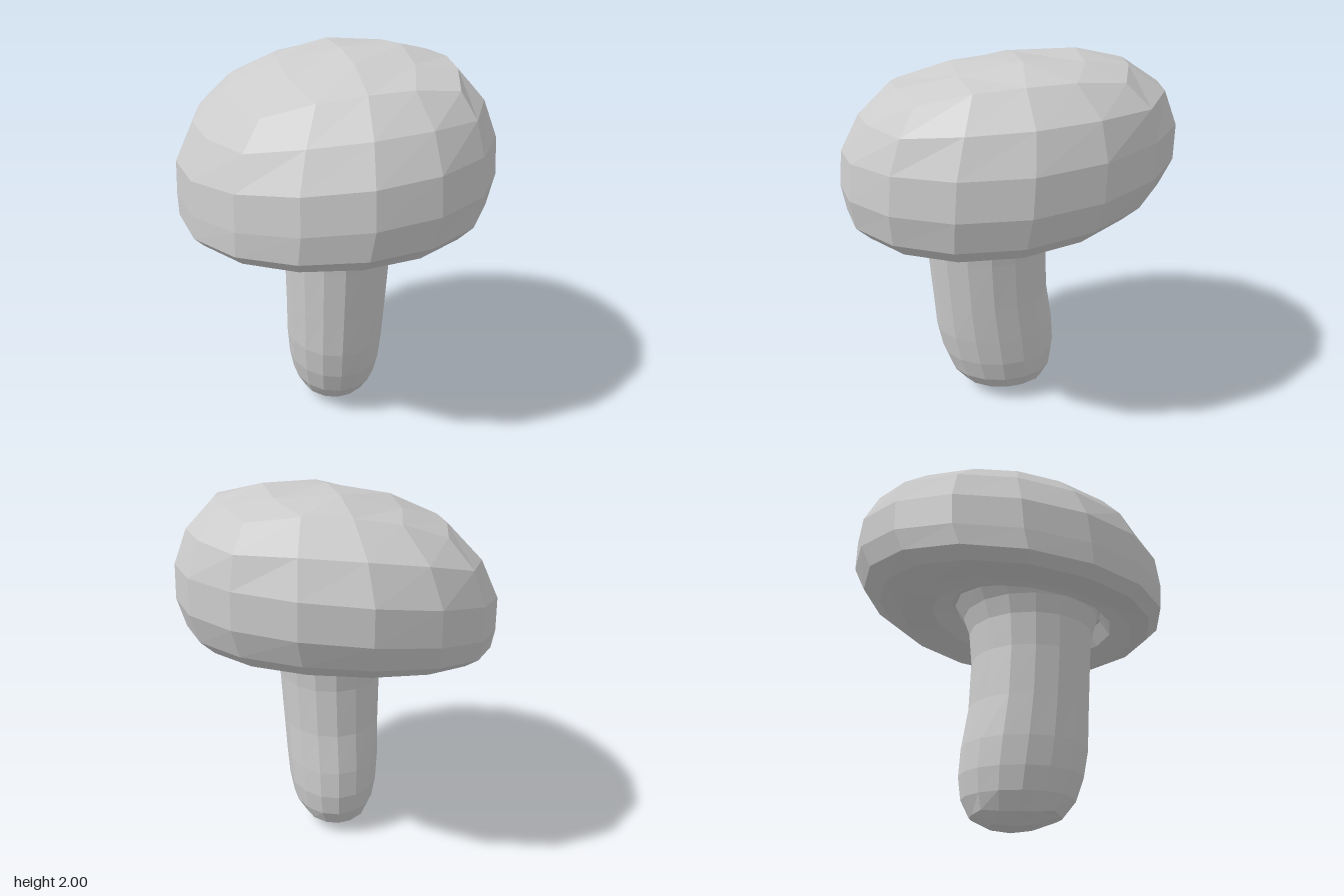
import * as THREE from 'three';

const material = new THREE.MeshStandardMaterial({ color: 0xcccccc, flatShading: true });

// Rounded solid from a box: 16 vertices around, 4 x 4 quad grids as end caps.
// rings, top to bottom: [radius x, radius z, y, centre x, centre z, squareness]
// dome: how steeply the squared corners of a ring fall away
function roundedSolid(name, rings, dome, bend = (x, y, z) => [x, y, z]) {
  const rows = rings.length - 5;
  const last = rings.length - 1;
  const geometry = new THREE.BoxGeometry(2, 2, 2, 4, rows, 4);
  const p = geometry.attributes.position;
  for (let i = 0; i < p.count; i++) {
    const x = p.getX(i), y = p.getY(i), z = p.getZ(i);
    const s = Math.max(Math.abs(x), Math.abs(z));
    let k = 2 + Math.round((1 - y) / 2 * rows);
    if (y > 0.999) k = Math.round(2 * s);
    if (y < -0.999) k = last - Math.round(2 * s);
    const [rx, rz, h, cx, cz, square = 0] = rings[k];

    // Spread the square outline evenly around a circle
    let a = 0;
    if (s > 0) {
      a = Math.abs(x) >= Math.abs(z)
        ? (z / x) * Math.PI / 4 + (x < 0 ? Math.PI : 0)
        : Math.PI / 2 - (x / z) * Math.PI / 4 + (z < 0 ? Math.PI : 0);
    }
    const c = Math.cos(a), d = Math.sin(a);
    const f = 1 + square * (1 / Math.max(Math.abs(c), Math.abs(d)) - 1);
    const drop = dome * (f * f - 1) * rx * rz;
    p.setXYZ(i, ...bend(cx + rx * c * f, h - drop, cz + rz * d * f));
  }
  geometry.computeVertexNormals();
  const mesh = new THREE.Mesh(geometry, material);
  mesh.name = name;
  return mesh;
}

export function createModel() {
  const group = new THREE.Group();
  group.name = 'mushroom';

  // Domed cap with a turned-in rim and hollow underside
  const capRings = [
    [0, 0, 1.985, 0.04, -0.01],
    [0.32, 0.32, 1.965, 0.04, -0.02, 0.8],
    [0.57, 0.59, 1.885, 0.03, 0, 0.38],
    [0.735, 0.78, 1.725, 0.015, -0.02, 0.1],
    [0.82, 0.87, 1.54, 0, -0.01],
    [0.828, 0.88, 1.36, 0, 0],
    [0.805, 0.84, 1.225, -0.02, 0.02],
    [0.74, 0.76, 1.16, -0.03, 0.03],
    [0.62, 0.65, 1.125, -0.02, 0.04],
    [0.48, 0.51, 1.18, 0, 0.07],
    [0.38, 0.43, 1.26, 0.01, 0.1],
    [0.19, 0.2, 1.3, 0.01, 0.1],
    [0, 0, 1.3, 0.01, 0.1],
  ];
  // The cap leans to the front and one side, slightly skewed and saddled
  const lean = (x, y, z) => {
    const t = THREE.MathUtils.clamp((y - 1.1) / 0.3, 0, 1);
    const rise = (0.04 + 0.065 * t) * x - (0.09 - 0.03 * t) * z + 0.04 * (z * z - x * x);
    return [x + 0.085 * z, y + rise, z - 0.015 * x];
  };
  group.add(roundedSolid('cap', capRings, 0.5, lean));

  // Stem, flared into the cap and rounded at the foot
  const stemRings = [
    [0, 0, 1.32, 0.01, 0.12],
    [0.19, 0.2, 1.32, 0.01, 0.12],
    [0.38, 0.43, 1.28, 0.01, 0.12],
    [0.33, 0.38, 1.2, 0.01, 0.12],
    [0.3, 0.345, 1.1, 0.01, 0.12],
    [0.285, 0.33, 0.92, 0.01, 0.12],
    [0.275, 0.325, 0.65, 0.005, 0.105],
    [0.268, 0.335, 0.43, 0, 0.08],
    [0.257, 0.325, 0.28, 0, 0.06],
    [0.235, 0.295, 0.16, 0, 0.045],
    [0.18, 0.235, 0.068, -0.005, 0.03, 0.2],
    [0.09, 0.115, 0.013, -0.015, 0.01, 0.6],
    [0, 0, 0, -0.02, 0],
  ];
  group.add(roundedSolid('stem', stemRings, -1.8));

  return group;
}
